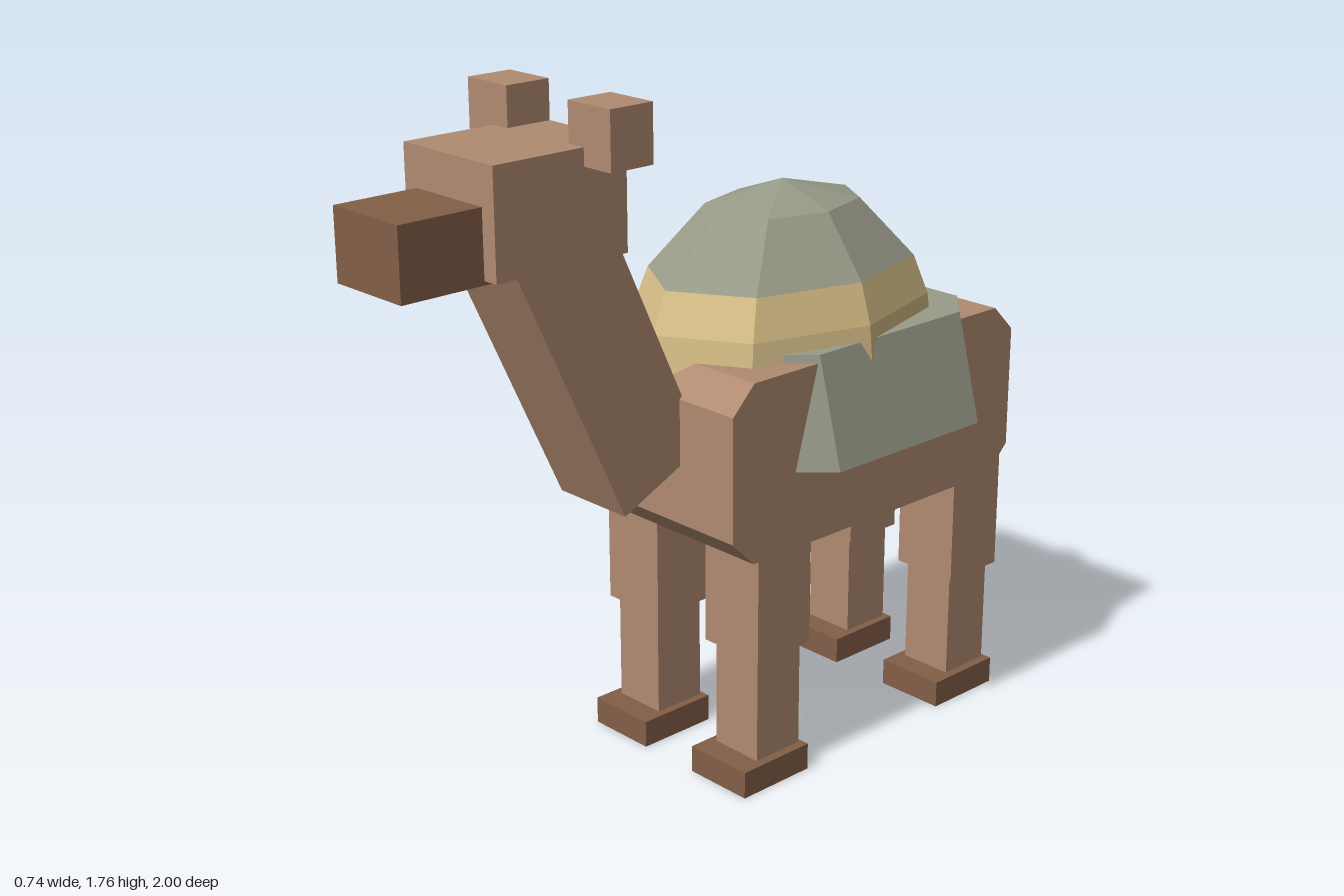
import * as THREE from 'three';

const flat = (name, color) => {
  const m = new THREE.MeshStandardMaterial({ color, flatShading: true });
  m.name = name;
  return m;
};

// Eight-cornered outline: a rectangle with its corners cut off
function chamferedRect(x0, x1, y0, y1, cx, cy) {
  return new THREE.Shape([
    [x0 + cx, y0], [x1 - cx, y0], [x1, y0 + cy], [x1, y1 - cy],
    [x1 - cx, y1], [x0 + cx, y1], [x0, y1 - cy], [x0, y0 + cy],
  ].map(([x, y]) => new THREE.Vector2(x, y)));
}

export function createModel() {
  const fur = flat('fur', 0xb18b71);
  const dark = flat('dark brown', 0x835f47);
  const cloth = flat('grey green cloth', 0x999b89);
  const gold = flat('gold trim', 0xd8c088);
  const model = new THREE.Group();
  model.name = 'camel';

  const add = (name, geometry, material) => {
    const mesh = new THREE.Mesh(geometry, material);
    mesh.name = name;
    model.add(mesh);
    return mesh;
  };
  // Box given by its extents on each axis
  const box = (name, material, x0, x1, y0, y1, z0, z1) => {
    const mesh = add(name, new THREE.BoxGeometry(x1 - x0, y1 - y0, z1 - z0), material);
    mesh.position.set((x0 + x1) / 2, (y0 + y1) / 2, (z0 + z1) / 2);
    return mesh;
  };
  // Box tilted about the x axis
  const tilted = (name, material, w, h, d, y, z, degrees) => {
    const mesh = add(name, new THREE.BoxGeometry(w, h, d), material);
    mesh.position.set(0, y, z);
    mesh.rotation.x = THREE.MathUtils.degToRad(degrees);
  };

  // Body: side profile extruded across x
  const bodyGeo = new THREE.ExtrudeGeometry(
    chamferedRect(-0.757, 0.232, 0.63, 1.08, 0.068, 0.068),
    { depth: 0.59, bevelEnabled: false });
  bodyGeo.rotateY(-Math.PI / 2).translate(0.295, 0, 0);
  add('body', bodyGeo, fur);

  // Saddle blanket: octagonal slab whose sides flare out downwards
  const blanketGeo = new THREE.ExtrudeGeometry(
    chamferedRect(-0.295, 0.295, -0.65, 0.05, 0.095, 0.1),
    { depth: 0.275, bevelEnabled: false });
  blanketGeo.rotateX(Math.PI / 2).translate(0, 1.1, 0);
  const p = blanketGeo.attributes.position;
  for (let i = 0; i < p.count; i++) {
    if (p.getY(i) < 1) p.setX(i, p.getX(i) + Math.sign(p.getX(i)) * 0.073);
  }
  blanketGeo.computeVertexNormals();
  add('saddleBlanket', blanketGeo, cloth);

  // Hump: eight-sided ellipsoid in three zones
  const zone = (name, material, rows, from, to) => {
    const step = Math.PI / 6;
    const mesh = add(name, new THREE.SphereGeometry(
      1, 8, rows, 0, Math.PI * 2, from * step, (to - from) * step), material);
    mesh.scale.set(0.31, 0.415, 0.446);
    mesh.position.set(0, 1.03, -0.217);
  };
  zone('humpCap', cloth, 2, 0, 2);
  zone('humpTrim', gold, 1, 2, 3);
  zone('humpBase', cloth, 3, 3, 6);

  // Neck, head and muzzle
  tilted('neck', fur, 0.23, 0.79, 0.27, 1.18, 0.449, 25);
  box('head', fur, -0.155, 0.155, 1.41, 1.665, 0.42, 0.785);
  box('muzzle', dark, -0.114, 0.114, 1.4, 1.57, 0.76, 1);

  // Tail and tuft
  tilted('tail', fur, 0.095, 0.3, 0.1, 0.793, -0.845, 35);
  box('tailTuft', dark, -0.054, 0.054, 0.58, 0.7, -1, -0.887);

  // Ears and legs, mirrored left and right
  for (const [label, s] of [['left', 1], ['right', -1]]) {
    const sideBox = (name, material, x0, x1, ...rest) =>
      box(label + name, material, Math.min(s * x0, s * x1), Math.max(s * x0, s * x1), ...rest);
    sideBox('Ear', fur, 0.105, 0.243, 1.623, 1.76, 0.42, 0.54);
    for (const [end, z] of [['Front', 0], ['Rear', -0.708]]) {
      sideBox(end + 'UpperLeg', fur, 0.088, 0.272, 0.35, 0.68, z - 0.053, z + 0.125);
      sideBox(end + 'LowerLeg', fur, 0.108, 0.254, 0.06, 0.36, z - 0.037, z + 0.108);
      sideBox(end + 'Foot', dark, 0.087, 0.277, 0, 0.07, z - 0.048, z + 0.172);
    }
  }
  return model;
}
